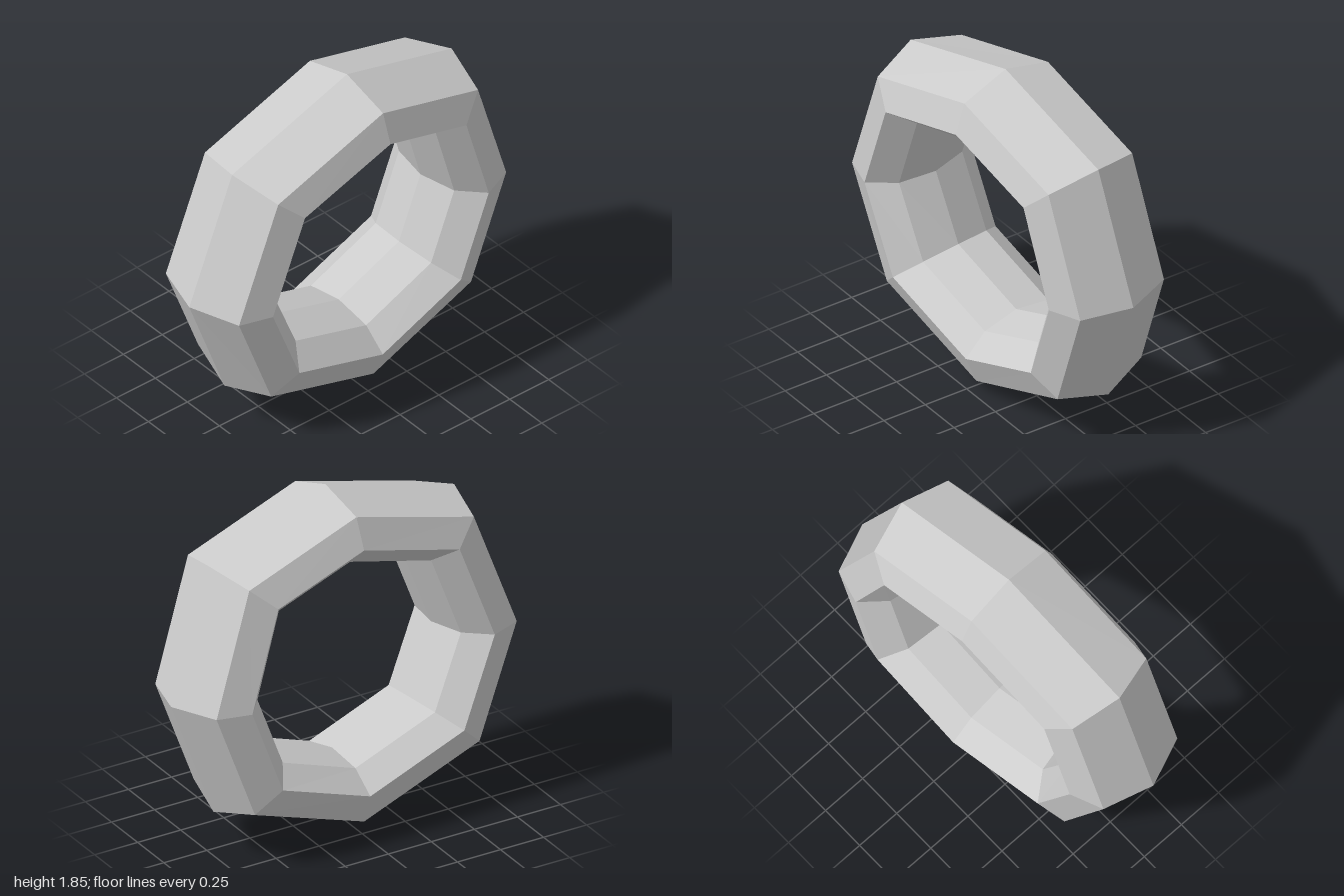
import * as THREE from 'three';

// Slight lean of the ring: how z follows x and y, and how x and y follow the ring's axis
const LEAN = { zx: -0.065, zy: 0.044, nx: 0.065, ny: -0.055 };

// Stations around the ring: centre x, centre y, outward x, outward y
const right = [0, 0.91, 0.997, 0];
const diagonal = [0.013, 0.94, 0.746, 0.68];
const top = [0.037, 0.927, 0, 0.923];
const flip = ([cx, cy, dx, dy], sx, sy) => [cx, cy, dx * sx, dy * sy];
const STATIONS = [
  right, diagonal, top, flip(diagonal, -1, 1),
  flip(right, -1, 1), flip(diagonal, -1, -1), flip(top, 1, -1), flip(diagonal, 1, -1),
];

// Eight-sided tube section: share of the outer radius, distance along the axis
const half = [[0.91, 0.265], [0.735, 0.325], [0.617, 0.2]];
const SECTION = [
  [1, 0], ...half, [0.575, 0],
  ...half.map(([r, a]) => [r, -a]).reverse(),
];

function ringPoint(i, j) {
  const [cx, cy, dx, dy] = STATIONS[i % STATIONS.length];
  const [r, a] = SECTION[j % SECTION.length];
  return [
    cx + dx * r + LEAN.nx * a,
    cy + dy * r + LEAN.ny * a,
    LEAN.zx * dx * r + LEAN.zy * dy * r + a,
  ];
}

export function createModel() {
  const group = new THREE.Group();
  group.name = 'facetedRing';

  const positions = [];
  for (let i = 0; i < STATIONS.length; i++) {
    for (let j = 0; j < SECTION.length; j++) {
      const a = ringPoint(i, j), b = ringPoint(i + 1, j);
      const c = ringPoint(i + 1, j + 1), d = ringPoint(i, j + 1);
      positions.push(...a, ...b, ...c, ...a, ...c, ...d);
    }
  }
  const geometry = new THREE.BufferGeometry();
  geometry.setAttribute('position', new THREE.Float32BufferAttribute(positions, 3));
  geometry.computeVertexNormals();

  const material = new THREE.MeshStandardMaterial({ color: 0xcccccc, flatShading: true });
  material.name = 'light grey';

  const ring = new THREE.Mesh(geometry, material);
  ring.name = 'ring';
  group.add(ring);
  return group;
}
